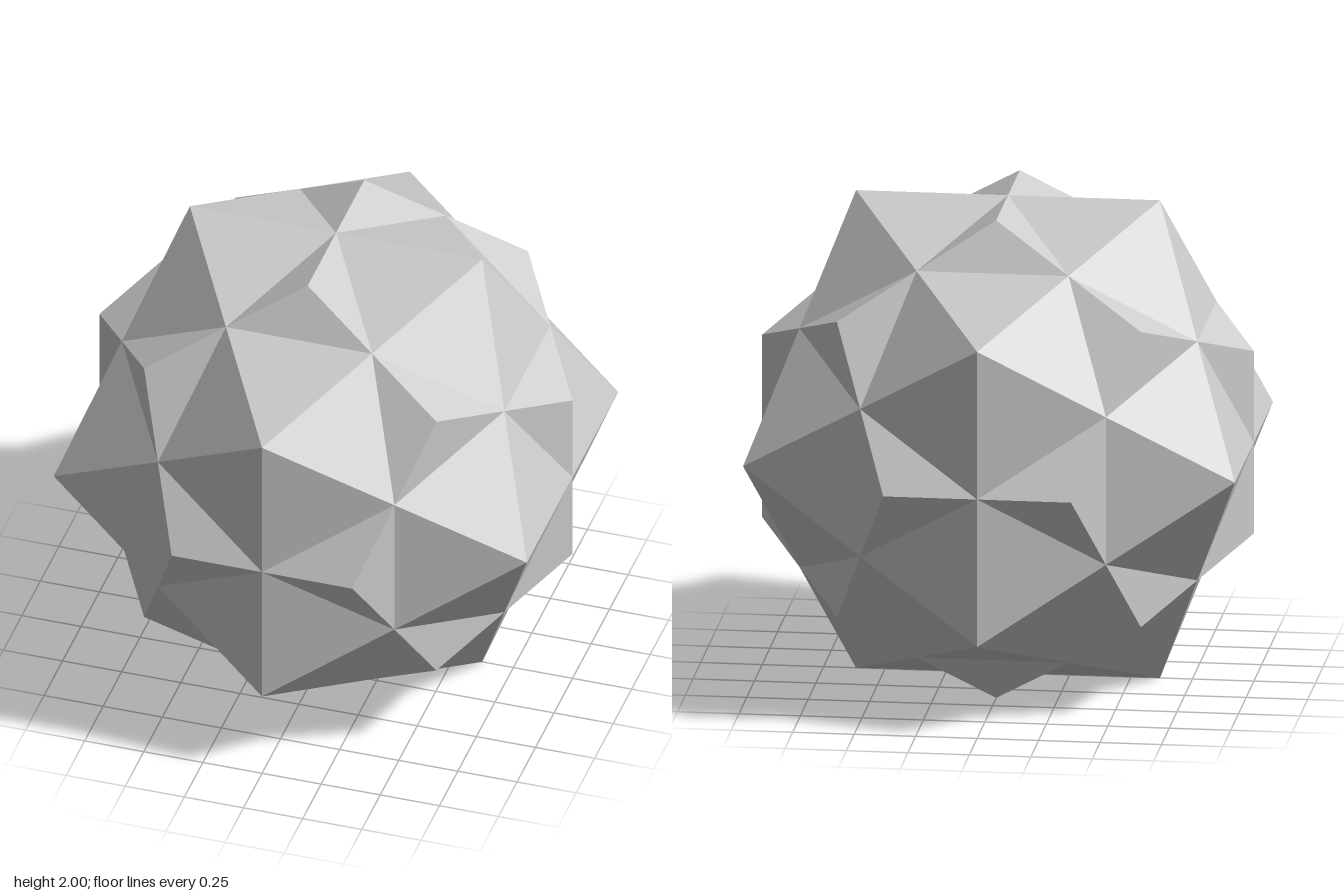
import * as THREE from 'three';

const G = (Math.sqrt(5) - 1) / 2; // golden ratio, 0.618

// All sign variants of the three cyclic permutations of (a, b, 0)
function cyclicPoints(a, b) {
  const points = [];
  for (const s of [1, -1]) for (const t of [1, -1]) {
    const p = [a * s, b * t, 0];
    for (let k = 0; k < 3; k++) points.push(new THREE.Vector3(p[k], p[(k + 1) % 3], p[(k + 2) % 3]));
  }
  return points;
}

// Sides of a pyramid from an apex to its n nearest rim points, ordered counter-clockwise
function pyramid(apex, rim, n) {
  const axis = apex.clone().normalize();
  const ring = [...rim].sort((p, q) => p.distanceTo(apex) - q.distanceTo(apex)).slice(0, n);
  const u = ring[0].clone().projectOnPlane(axis).normalize();
  const v = axis.clone().cross(u);
  const angle = (p) => Math.atan2(p.dot(v), p.dot(u));
  ring.sort((p, q) => angle(p) - angle(q));
  return ring.flatMap((p, i) => [apex, p, ring[(i + 1) % n]]);
}

export function createModel() {
  const group = new THREE.Group();
  group.name = 'stellatedPolyhedron';
  const material = new THREE.MeshStandardMaterial({ color: 0xcccccc, flatShading: true });

  // Twelve five-sided and twenty three-sided apexes
  const fiveApexes = cyclicPoints(G, 1);
  const threeApexes = cyclicPoints(1, G * G);
  for (const x of [G, -G]) for (const y of [G, -G]) for (const z of [G, -G]) {
    threeApexes.push(new THREE.Vector3(x, y, z));
  }

  // Thirty shared rim points, halfway between neighbouring five-sided apexes
  const rim = [];
  fiveApexes.forEach((a, i) => fiveApexes.slice(i + 1).forEach((b) => {
    if (a.distanceTo(b) < 1.3) rim.push(a.clone().add(b).multiplyScalar(0.5));
  }));

  const addPyramids = (name, apexes, sides) => {
    const points = apexes.flatMap((apex) => pyramid(apex, rim, sides));
    const geometry = new THREE.BufferGeometry().setFromPoints(points);
    geometry.computeVertexNormals();
    const mesh = new THREE.Mesh(geometry, material);
    mesh.name = name;
    mesh.position.y = 1;
    group.add(mesh);
  };
  addPyramids('fiveSidedPyramids', fiveApexes, 5);
  addPyramids('threeSidedPyramids', threeApexes, 3);
  return group;
}
